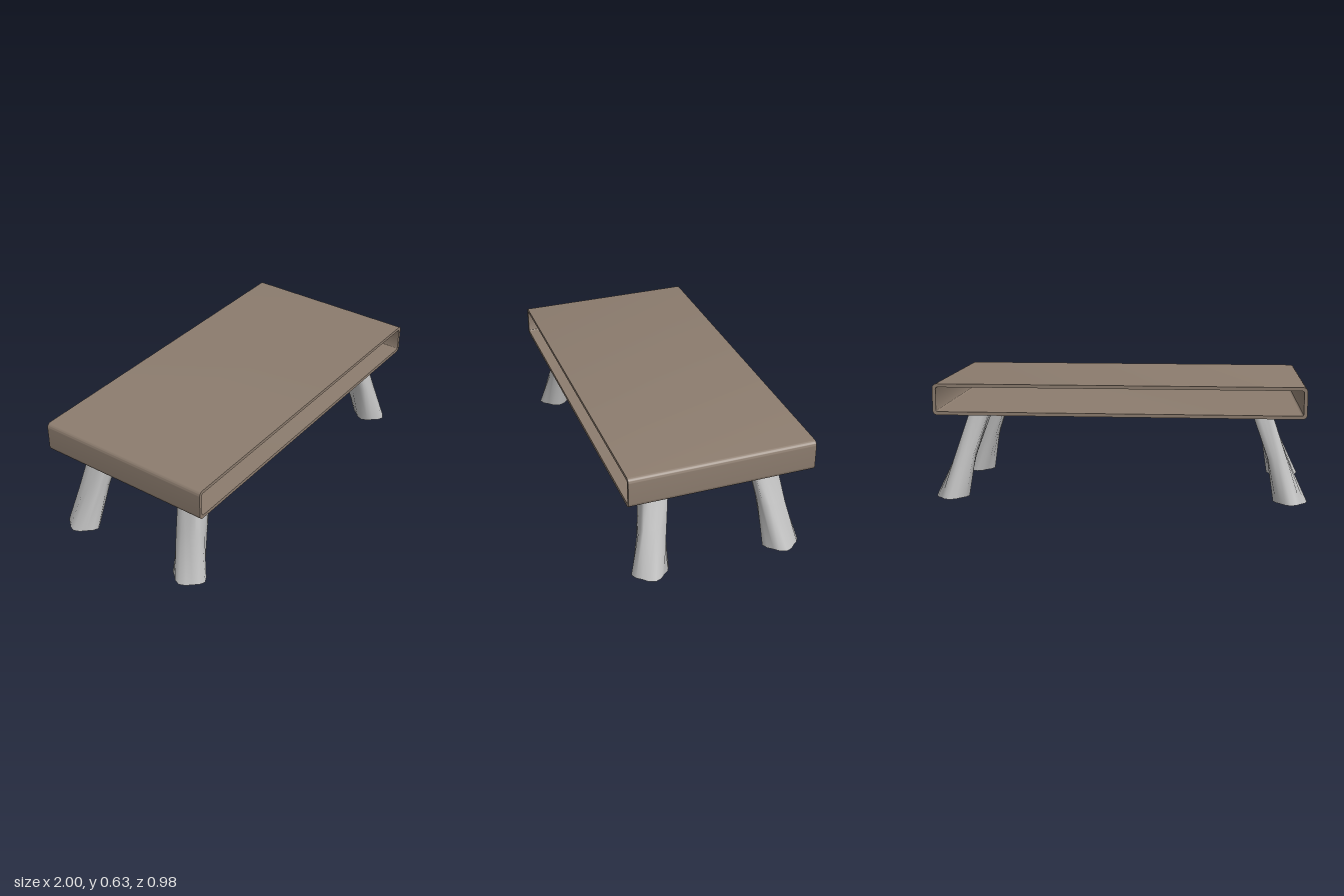
import * as THREE from 'three';
import { toCreasedNormals } from 'three/addons/utils/BufferGeometryUtils.js';

// Trace a rounded rectangle centred on the origin
function roundedRect(path, w, h, r) {
  const x = w / 2, y = h / 2;
  path.moveTo(-x + r, -y);
  path.lineTo(x - r, -y);
  path.absarc(x - r, -y + r, r, -Math.PI / 2, 0);
  path.lineTo(x, y - r);
  path.absarc(x - r, y - r, r, 0, Math.PI / 2);
  path.lineTo(-x + r, y);
  path.absarc(-x + r, y - r, r, Math.PI / 2, Math.PI);
  path.lineTo(-x, -y + r);
  path.absarc(-x + r, -y + r, r, Math.PI, Math.PI * 1.5);
  return path;
}

// Splayed leg: square at the top, turning into a rounded diamond at the foot
function legGeometry(sx, sz) {
  const sides = 16;
  const square = [1, 1.08, 1.414, 1.08];
  const softSquare = [1, 1.08, 1.34, 1.08];
  const diamond = [1, 0.91, 0.82, 0.91];
  const rings = [
    { y: 0, x: 0.91, z: 0.36, rx: 0.09, rz: 0.1, shape: diamond },
    { y: 0.235, x: 0.837, z: 0.325, rx: 0.0525, rz: 0.065, shape: softSquare },
    { y: 0.472, x: 0.755, z: 0.288, rx: 0.0525, rz: 0.063, shape: square },
  ];
  const pos = [], index = [];
  const tri = (a, b, c) => (sx * sz > 0 ? index.push(a, b, c) : index.push(a, c, b));
  const addRing = (ring) => {
    for (let i = 0; i < sides; i++) {
      const a = (i / sides) * Math.PI * 2, k = ring.shape[i % 4];
      pos.push(sx * (ring.x + ring.rx * k * Math.cos(a)), ring.y, sz * (ring.z + ring.rz * k * Math.sin(a)));
    }
  };
  rings.forEach(addRing);
  for (let j = 0; j < rings.length - 1; j++) {
    for (let i = 0; i < sides; i++) {
      const a = j * sides + i, b = j * sides + ((i + 1) % sides);
      tri(a, a + sides, b);
      tri(b, a + sides, b + sides);
    }
  }
  // Flat sole with its own vertices, so its edge stays sharp
  const start = pos.length / 3;
  addRing(rings[0]);
  for (let i = 1; i < sides - 1; i++) tri(start, start + i, start + i + 1);

  const geo = new THREE.BufferGeometry();
  geo.setAttribute('position', new THREE.Float32BufferAttribute(pos, 3));
  geo.setIndex(index);
  geo.computeVertexNormals();
  return geo;
}

export function createModel() {
  const brown = new THREE.MeshStandardMaterial({ color: 0x8c7c6e });
  brown.name = 'warm brown';
  const grey = new THREE.MeshStandardMaterial({ color: 0xc0c0c0 });
  grey.name = 'light grey';

  const group = new THREE.Group();
  group.name = 'coffeeTable';

  // Hollow table top, open at front and back
  const width = 1.955, height = 0.166, depth = 0.98, wall = 0.018;
  const shape = roundedRect(new THREE.Shape(), width, height, 0.024);
  shape.holes.push(roundedRect(new THREE.Path(), width - 2 * wall, height - 2 * wall, 0.01));
  const shell = new THREE.ExtrudeGeometry(shape, { depth, bevelEnabled: false, curveSegments: 5 });
  shell.translate(0, 0, -depth / 2);
  const top = new THREE.Mesh(toCreasedNormals(shell, 0.6), brown);
  top.name = 'hollowTop';
  top.position.y = 0.465 + height / 2;
  group.add(top);

  // Four mirrored legs
  for (const sx of [1, -1]) {
    for (const sz of [1, -1]) {
      const leg = new THREE.Mesh(legGeometry(sx, sz), grey);
      leg.name = (sz > 0 ? 'front' : 'back') + (sx > 0 ? 'Left' : 'Right') + 'Leg';
      group.add(leg);
    }
  }
  return group;
}
